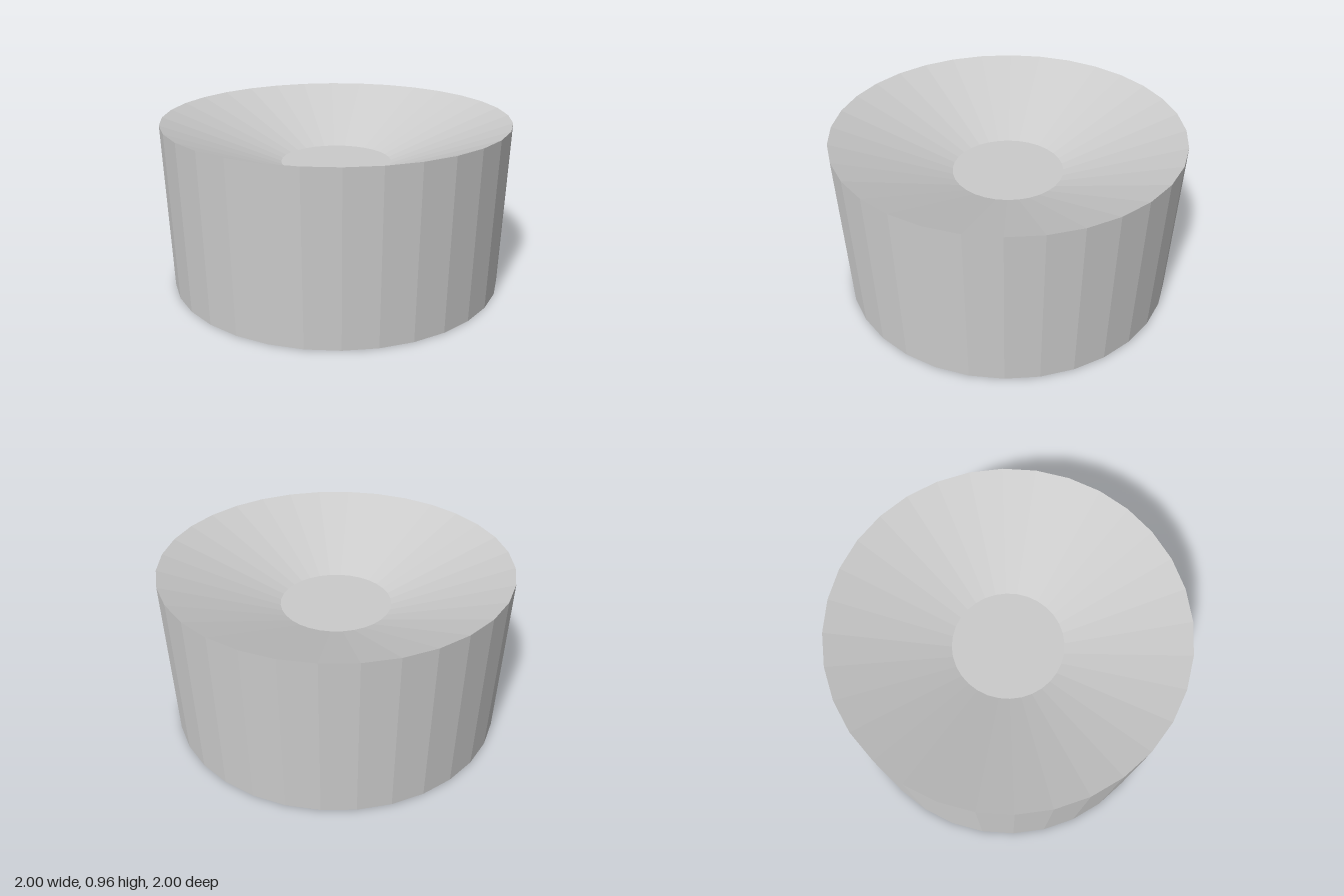
import * as THREE from 'three';

const SIDES = 32;
const HEIGHT = 0.965, RIM = 1, FOOT = 0.972;
const FLOOR_Y = 0.7, FLOOR_R = 0.322;

export function createModel() {
  const group = new THREE.Group();
  group.name = 'dishedDrum';
  const material = new THREE.MeshStandardMaterial({ color: 0xcccccc, flatShading: true });

  const add = (name, geometry) => {
    const mesh = new THREE.Mesh(geometry, material);
    mesh.name = name;
    group.add(mesh);
    return mesh;
  };
  // Faceted band between [radius, y] pairs; rising profiles face outward
  const band = (...profile) =>
    new THREE.LatheGeometry(profile.map(([r, y]) => new THREE.Vector2(r, y)), SIDES);
  const disc = (radius, tilt) => new THREE.CircleGeometry(radius, SIDES).rotateX(tilt);

  // Slightly flared outer wall
  add('outerWall', band([FOOT, 0], [RIM, HEIGHT]));

  // Conical hollow falling from the sharp rim to a flat floor
  add('dishSlope', band([RIM, HEIGHT], [FLOOR_R, FLOOR_Y]));
  add('dishFloor', disc(FLOOR_R, -Math.PI / 2)).position.y = FLOOR_Y;

  // Closed underside
  add('base', disc(FOOT, Math.PI / 2));

  return group;
}
